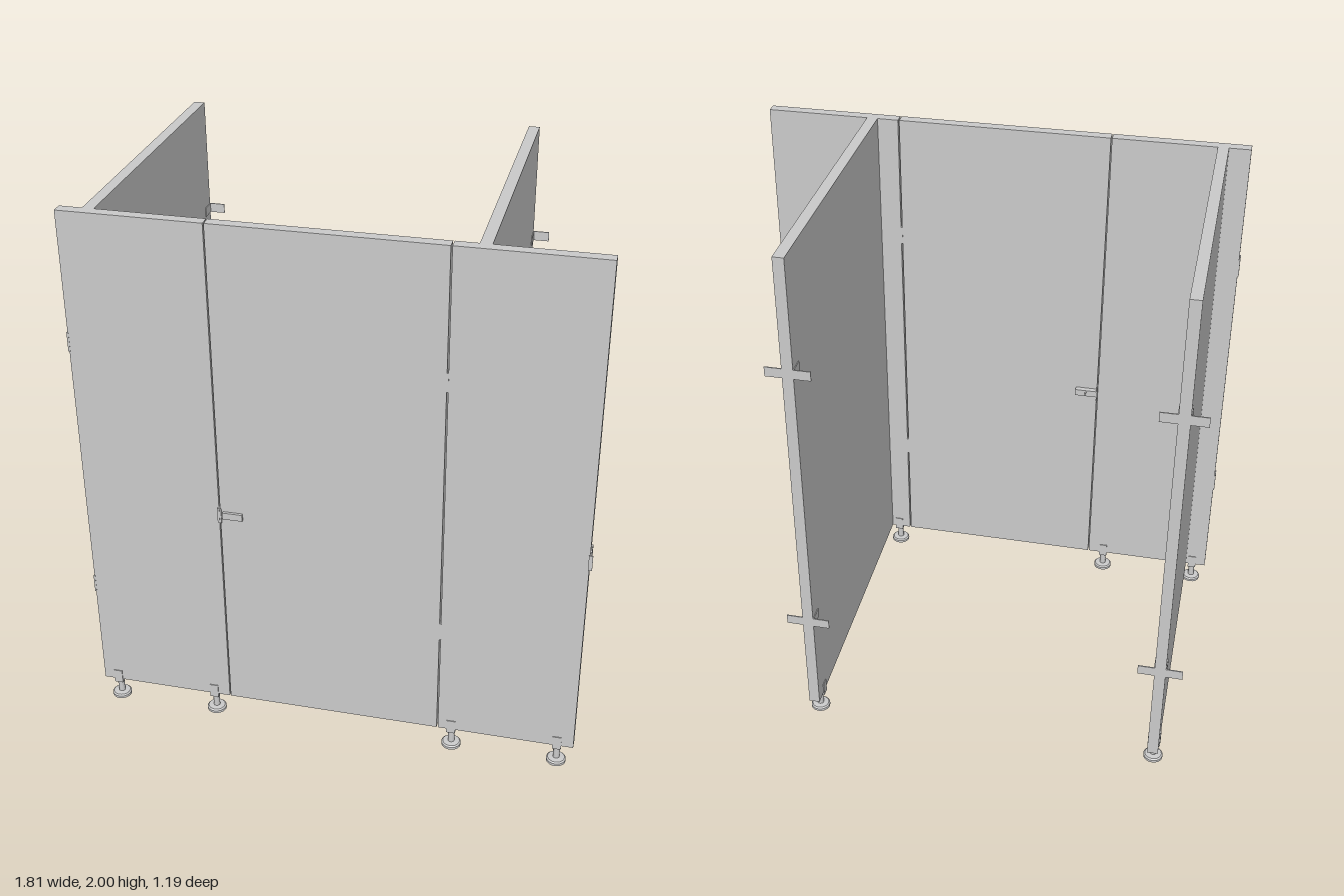
import * as THREE from 'three';

const grey = new THREE.MeshStandardMaterial({ color: 0xcccccc });

// Box given by its lower and upper limits on each axis
function slab(parent, name, x0, x1, y0, y1, z0, z1) {
  const mesh = new THREE.Mesh(new THREE.BoxGeometry(x1 - x0, y1 - y0, z1 - z0), grey);
  mesh.position.set((x0 + x1) / 2, (y0 + y1) / 2, (z0 + z1) / 2);
  mesh.name = name;
  parent.add(mesh);
  return mesh;
}

function group(parent, name, x = 0, y = 0, z = 0) {
  const g = new THREE.Group();
  g.name = name;
  g.position.set(x, y, z);
  parent.add(g);
  return g;
}

const BOTTOM = 0.085, TOP = 2, BACK = -0.595;
const FRONT0 = 0.535, FRONT1 = 0.575, HALF = 0.02;

// Adjustable foot: turned disc and stem under a U-shaped panel clip
function addFoot(parent, x, z, alongZ) {
  const foot = group(parent, 'foot', x, 0, z);
  const profile = [[0, 0], [0.036, 0], [0.036, 0.01], [0.031, 0.015], [0.012, 0.017], [0.012, 0.072], [0, 0.072]]
    .map(([r, y]) => new THREE.Vector2(r, y));
  const geo = new THREE.LatheGeometry(profile, 20).toNonIndexed();
  geo.computeVertexNormals();
  const post = new THREE.Mesh(geo, grey);
  post.name = 'footPost';
  foot.add(post);
  const clip = group(foot, 'footClip');
  slab(clip, 'clipBase', -0.016, 0.016, 0.07, BOTTOM, -0.023, 0.023);
  for (const s of [-1, 1]) {
    const a = s * HALF, b = s * 0.023;
    slab(clip, 'clipSide', -0.016, 0.016, 0.08, 0.125, Math.min(a, b), Math.max(a, b));
  }
  if (alongZ) clip.rotation.y = Math.PI / 2;
}

// Pair of angle brackets fixing a side panel to the wall behind
function addWallBrackets(parent, x, y) {
  const g = group(parent, 'wallBracket', x, y, BACK);
  for (const s of [-1, 1]) {
    const span = (a, b) => [Math.min(s * a, s * b), Math.max(s * a, s * b)];
    slab(g, 'wallPlate', ...span(HALF, 0.08), -0.018, 0.018, 0, 0.004);
    slab(g, 'panelPlate', ...span(HALF, 0.023), -0.018, 0.018, 0, 0.06);
  }
}

// Strike plate on a panel edge, lipped at the front and reaching inside
function addStrike(parent, x) {
  const g = group(parent, 'strikePlate', x, 0.905, 0);
  slab(g, 'edgePlate', 0, 0.004, -0.03, 0.03, FRONT0, 0.585);
  slab(g, 'innerTab', 0, 0.004, -0.03, 0.03, 0.512, FRONT0);
  slab(g, 'frontLip', -0.004, 0.01, -0.03, 0.03, 0.58, 0.584);
}

export function createModel() {
  const model = new THREE.Group();
  model.name = 'toiletCubicle';

  // Front panels and door with narrow seams
  slab(model, 'rightFrontPanel', -0.905, -0.404, BOTTOM, TOP, FRONT0, FRONT1);
  slab(model, 'door', -0.4, 0.392, BOTTOM, TOP, FRONT0, FRONT1);
  slab(model, 'leftFrontPanel', 0.397, 0.895, BOTTOM, TOP, FRONT0, FRONT1);

  // Side panels with wall brackets and rear feet
  for (const x of [-0.805, 0.495]) {
    slab(model, 'sidePanel', x - HALF, x + HALF, BOTTOM, TOP, BACK, FRONT0);
    for (const y of [0.49, 1.57]) addWallBrackets(model, x, y);
    addFoot(model, x, -0.525, true);
  }

  // Front feet
  for (const x of [-0.85, -0.465, 0.445, 0.835]) addFoot(model, x, 0.555, false);

  // Hinges in the door seam and on the outer edge
  for (const x of [0.391, -0.909])
    for (const y of [0.525, 1.525])
      slab(model, 'hinge', x, x + 0.007, y - 0.035, y + 0.035, FRONT0 - 0.001, FRONT1 + 0.001);

  // Strikes and door latch
  addStrike(model, -0.404);
  addStrike(model, 0.895);
  const latch = group(model, 'latch');
  slab(latch, 'outerPlate', -0.39, -0.318, 0.892, 0.918, FRONT1, 0.585);
  slab(latch, 'innerBolt', -0.4, -0.315, 0.892, 0.918, 0.514, FRONT0);
  slab(latch, 'boltKnob', -0.36, -0.354, 0.899, 0.911, 0.503, 0.514);

  return model;
}
